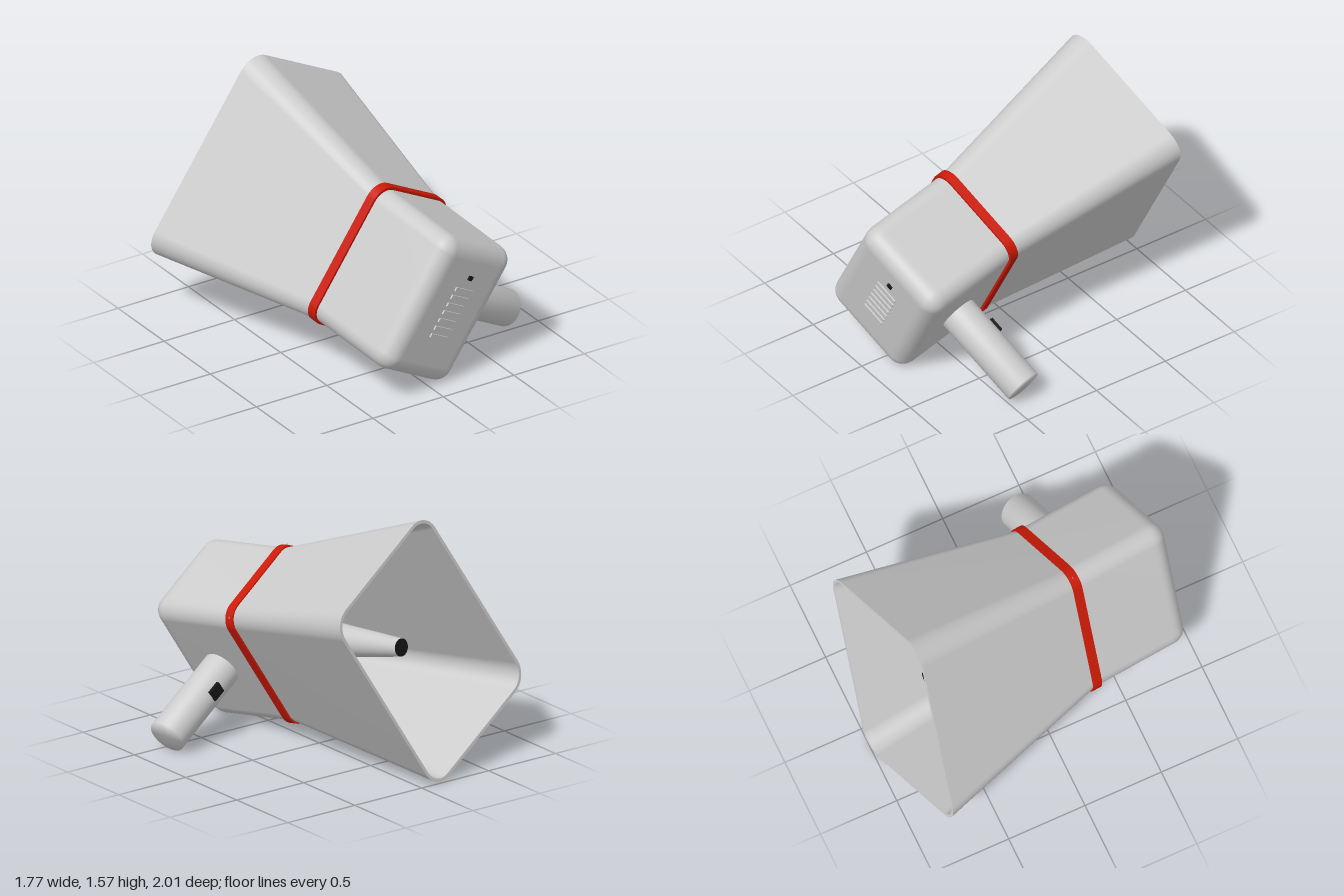
import * as THREE from 'three';

const grey = new THREE.MeshStandardMaterial({ color: 0xcccccc });
const red = new THREE.MeshStandardMaterial({ color: 0xcc1a08 });
const black = new THREE.MeshStandardMaterial({ color: 0x151515 });

// Rounded rectangle, counter-clockwise, as a loop of [x, y, z]
function section(hx, hy, r, z, steps = 8) {
  const loop = [];
  [[1, 1], [-1, 1], [-1, -1], [1, -1]].forEach(([sx, sy], q) => {
    for (let i = 0; i <= steps; i++) {
      const a = (q + i / steps) * Math.PI / 2;
      loop.push([sx * (hx - r) + r * Math.cos(a), sy * (hy - r) + r * Math.sin(a), z]);
    }
  });
  return loop;
}

// Skin through equal-length loops, optionally closing the last one
function loft(loops, cap = false) {
  const n = loops[0].length;
  const pos = loops.flat(2);
  const index = [];
  for (let k = 0; k < loops.length - 1; k++) {
    for (let i = 0; i < n; i++) {
      const a = k * n + i, b = k * n + (i + 1) % n;
      index.push(a, b, b + n, a, b + n, a + n);
    }
  }
  if (cap) {
    const c = pos.length / 3, o = (loops.length - 1) * n;
    pos.push(0, 0, loops.at(-1)[0][2]);
    for (let i = 0; i < n; i++) index.push(o + i, o + (i + 1) % n, c);
  }
  const g = new THREE.BufferGeometry();
  g.setAttribute('position', new THREE.Float32BufferAttribute(pos, 3));
  g.setIndex(index);
  g.computeVertexNormals();
  return g;
}

export function createModel() {
  const model = new THREE.Group();
  const body = new THREE.Group(); // local z runs along the horn axis, mouth at -z
  body.name = 'megaphone';
  model.add(body);

  const add = (name, geometry, material = grey, x = 0, y = 0, z = 0) => {
    const m = new THREE.Mesh(geometry, material);
    m.name = name;
    m.position.set(x, y, z);
    body.add(m);
    return m;
  };

  // Housing with a rounded far end
  const FACE = 0.67, BEVEL = 0.1;
  const shell = [section(0.33, 0.455, 0.1, -0.01), section(0.33, 0.455, 0.1, FACE - BEVEL - 0.02)];
  for (let i = 0; i <= 8; i++) {
    const a = i / 8 * Math.PI / 2;
    const inset = BEVEL * (1 - Math.cos(a));
    shell.push(section(0.33 - inset, 0.455 - inset, Math.max(0.1 - inset, 0.015), FACE - BEVEL + BEVEL * Math.sin(a)));
  }
  shell.push(section(0.222, 0.347, 0.012, FACE));
  add('housing', loft(shell, true));

  // Flared horn: outside, rim, inside and the plate behind it
  const mouth = -1.176, T = 0.02;
  const throatOut = section(0.33, 0.455, 0.1, 0), mouthOut = section(0.493, 0.687, 0.135, mouth);
  const throatIn = section(0.33 - T, 0.455 - T, 0.085, 0), mouthIn = section(0.493 - T, 0.687 - T, 0.115, mouth);
  add('hornOutside', loft([mouthOut, throatOut]));
  add('hornRim', loft([mouthIn, mouthOut]));
  add('hornInside', loft([throatIn, mouthIn]));
  const plate = add('throatPlate', new THREE.PlaneGeometry(0.64, 0.89), grey, 0, 0, -0.005);
  plate.rotation.y = Math.PI;

  // Red band around the joint
  const W = 0.03;
  const inner = z => section(0.325, 0.45, 0.095, z), outer = z => section(0.345, 0.47, 0.11, z);
  add('band', loft([outer(-W), outer(W)]), red);
  add('bandFrontEdge', loft([outer(W), inner(W)]), red);
  add('bandBackEdge', loft([inner(-W), outer(-W)]), red);

  // Tapered sound tube inside the horn, with a dark end
  const tube = add('soundTube', new THREE.CylinderGeometry(0.14, 0.055, 0.93, 32, 1, true), grey, 0, 0, -0.465);
  tube.rotation.x = Math.PI / 2;
  const tip = add('soundTubeEnd', new THREE.CircleGeometry(0.055, 32), black, 0, 0, -0.93);
  tip.rotation.y = Math.PI;

  // Handle and trigger
  const profile = [[0.115, 0.28], [0.115, 0.92], [0, 0.92]].map(p => new THREE.Vector2(...p));
  const handle = add('handle', new THREE.LatheGeometry(profile, 40), grey, 0, 0, 0.324);
  handle.rotation.z = -Math.PI / 2;
  add('trigger', new THREE.BoxGeometry(0.09, 0.07, 0.03), black, 0.53, 0.01, 0.212);

  // Grille bars and switch on the end face
  for (let i = -3; i <= 3; i++) {
    add('grilleBar', new THREE.BoxGeometry(0.16, 0.026, 0.02), grey, 0, i * 0.053, FACE);
  }
  add('switch', new THREE.BoxGeometry(0.035, 0.028, 0.02), black, 0, 0.245, FACE);

  // Resting pose
  const w = new THREE.Vector3(0.142, -0.157, 0.977).normalize();
  const v = new THREE.Vector3().crossVectors(w, new THREE.Vector3(0.847, -0.492, -0.202)).normalize();
  const u = new THREE.Vector3().crossVectors(v, w);
  body.quaternion.setFromRotationMatrix(new THREE.Matrix4().makeBasis(u, v, w));
  body.position.set(0, 0.613, 0.28);
  return model;
}
